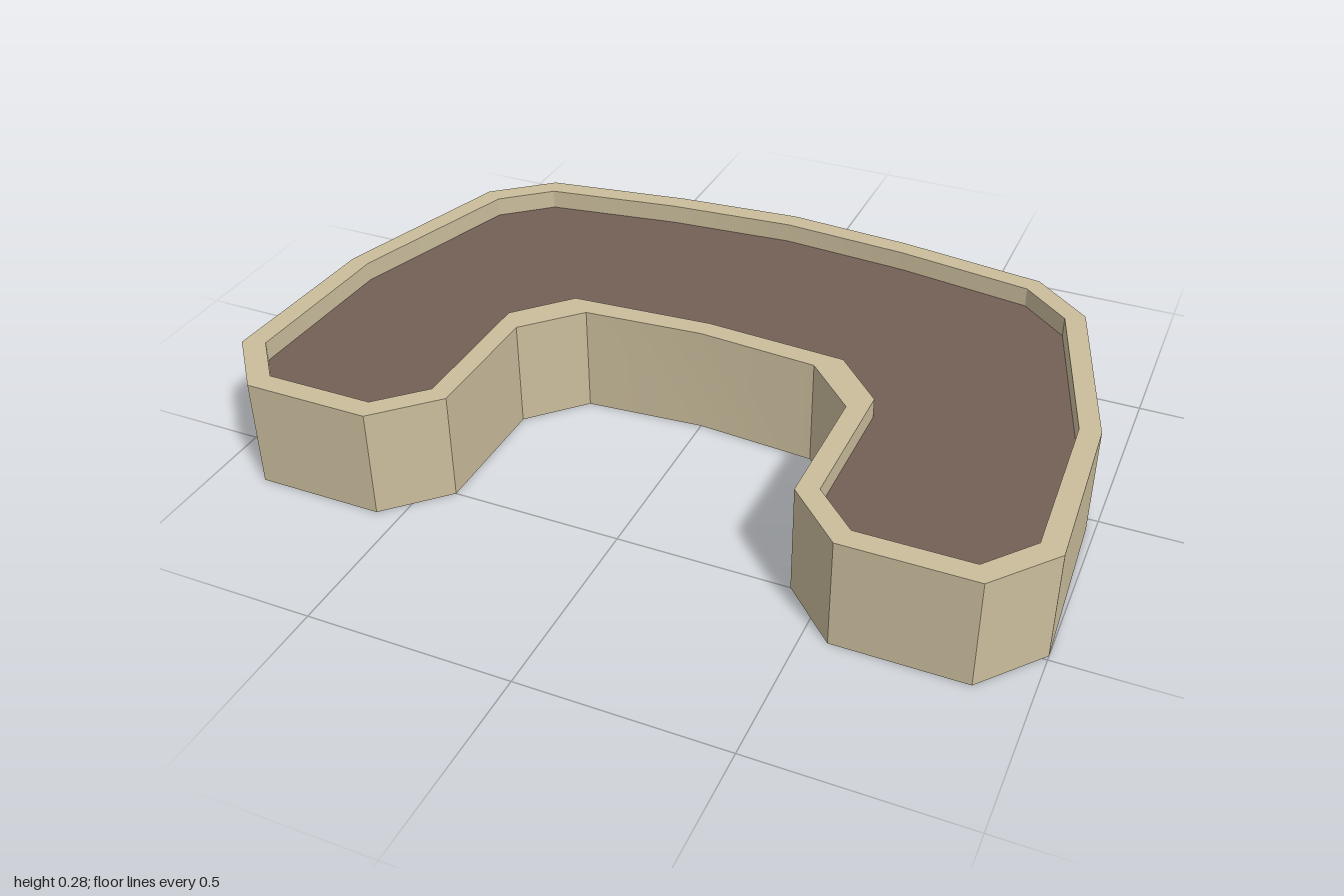
import * as THREE from 'three';
import { mergeGeometries, toCreasedNormals } from 'three/addons/utils/BufferGeometryUtils.js';

const HEIGHT = 0.275, SOIL_LEVEL = 0.225;

// Half outlines as [x, z], from the back centre round one arm to the inner bay centre
const OUTER = [[0, -0.635], [0.32, -0.61], [0.695, -0.555], [0.84, -0.432], [0.98, 0.04], [1, 0.487],
  [0.875, 0.635], [0.56, 0.635], [0.425, 0.5], [0.425, 0.168], [0.3, 0.038], [0, 0.015]];
const INNER = [[0, -0.583], [0.33, -0.558], [0.675, -0.506], [0.795, -0.403], [0.93, 0.045], [0.945, 0.468],
  [0.85, 0.582], [0.58, 0.582], [0.475, 0.478], [0.475, 0.115], [0.355, -0.013], [0, -0.036]];

// Mirror a half outline into closed clockwise points; shape y is -z so it can be laid flat
function outline(half) {
  const mirrored = half.slice(1, -1).reverse().map(([x, z]) => [-x, z]);
  return [...half, ...mirrored].map(([x, z]) => new THREE.Vector2(x, -z));
}

export function createModel() {
  const group = new THREE.Group();
  group.name = 'planter';

  // Surrounding wall with its flat rim: counter-clockwise outside, clockwise hole
  const ring = new THREE.Shape(outline(OUTER).reverse());
  ring.holes.push(new THREE.Path(outline(INNER)));
  const wall = new THREE.ExtrudeGeometry(ring, { depth: HEIGHT, bevelEnabled: false });
  wall.rotateX(-Math.PI / 2);

  // Underside closing the wall, facing down (the outline is symmetric in x)
  const underside = new THREE.ShapeGeometry(new THREE.Shape(outline(INNER)));
  underside.rotateY(Math.PI).rotateX(-Math.PI / 2);

  const shell = new THREE.Mesh(
    toCreasedNormals(mergeGeometries([wall, underside.toNonIndexed()]), THREE.MathUtils.degToRad(25)),
    new THREE.MeshStandardMaterial({ color: 0xcabd9c }));
  shell.name = 'planterWall';
  group.add(shell);

  // Recessed soil bed
  const bed = new THREE.ShapeGeometry(new THREE.Shape(outline(INNER)));
  bed.rotateX(-Math.PI / 2).translate(0, SOIL_LEVEL, 0);
  const soil = new THREE.Mesh(bed, new THREE.MeshStandardMaterial({ color: 0x735f55 }));
  soil.name = 'soilBed';
  group.add(soil);

  return group;
}
